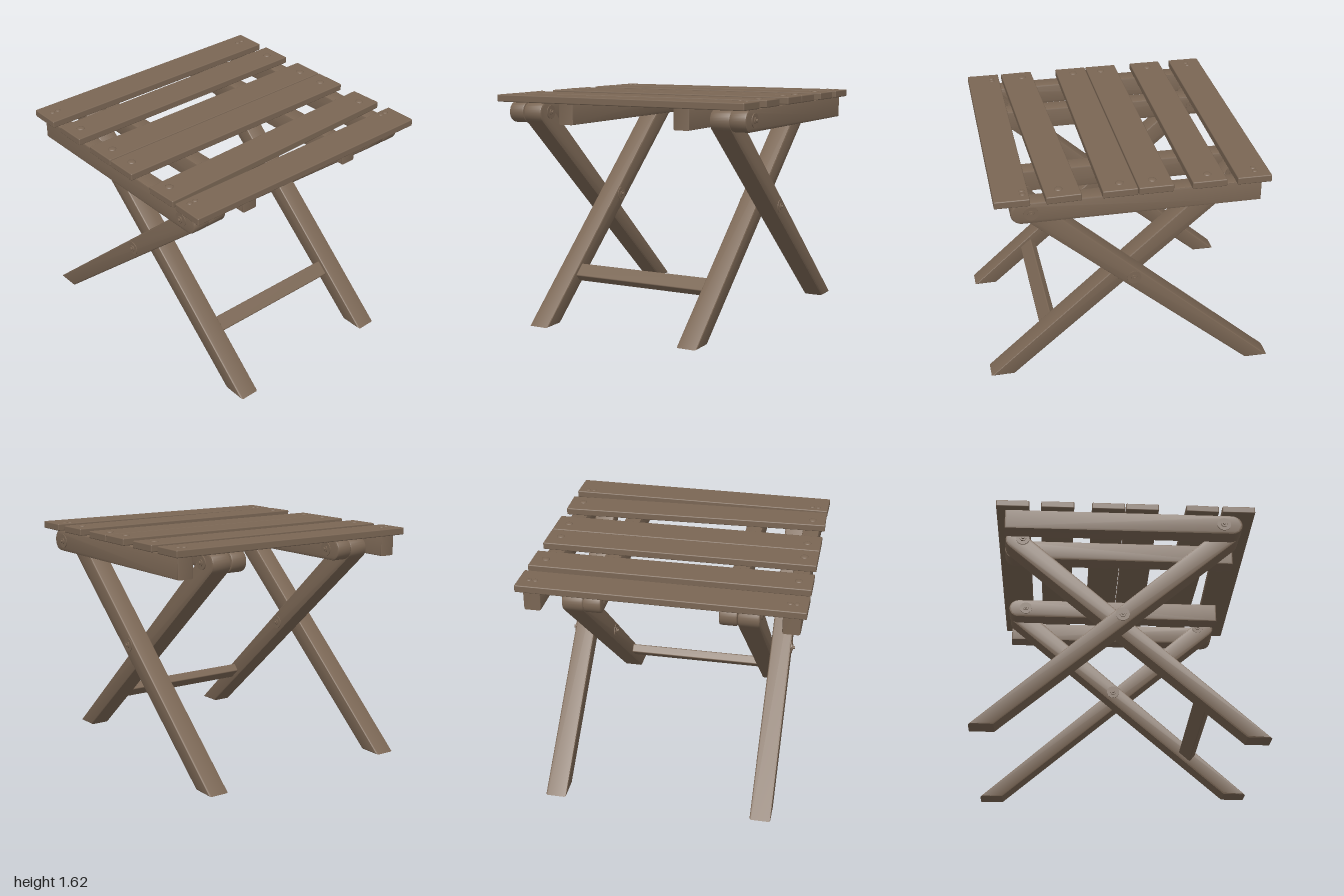
import * as THREE from 'three';
import { toCreasedNormals } from 'three/addons/utils/BufferGeometryUtils.js';
import { RoundedBoxGeometry } from 'three/addons/geometries/RoundedBoxGeometry.js';

const wood = new THREE.MeshStandardMaterial({ color: 0x7a6654 });
wood.name = 'brownWood';

// Side profile given in (z, y), extruded along x with eased edges; centred on x = 0
function sidePlank(shape, width, bevel = 0.012) {
  const geo = new THREE.ExtrudeGeometry(shape, {
    depth: width - 2 * bevel, bevelThickness: bevel, bevelSize: bevel,
    bevelOffset: -bevel, bevelSegments: 2, curveSegments: 14,
  });
  geo.translate(0, 0, -width / 2 + bevel);
  geo.rotateY(-Math.PI / 2);
  return toCreasedNormals(geo, 0.6);
}

// Leg rising towards +z * dir, rounded at the top, cut flat at the floor
function legShape(dir) {
  const s = new THREE.Shape();
  s.moveTo(-1 * dir, 0);
  s.lineTo(-0.835 * dir, 0);
  for (let i = 0; i <= 14; i++) {
    const a = -0.855 + Math.PI * i / 14;
    s.lineTo((0.75 + 0.075 * Math.cos(a)) * dir, 1.475 + 0.075 * Math.sin(a));
  }
  s.closePath();
  return s;
}

// Seat rail, rounded at the pivot end and square at the other
function railShape(dir) {
  const s = new THREE.Shape();
  s.moveTo(-0.82 * dir, 1.405);
  for (let i = 0; i <= 14; i++) {
    const a = -Math.PI / 2 + Math.PI * i / 14;
    s.lineTo((0.757 + 0.075 * Math.cos(a)) * dir, 1.48 + 0.075 * Math.sin(a));
  }
  s.lineTo(-0.82 * dir, 1.555);
  s.closePath();
  return s;
}

export function createModel() {
  const model = new THREE.Group();
  model.name = 'foldingStool';

  function add(name, geo, x = 0, y = 0, z = 0) {
    const mesh = new THREE.Mesh(geo, wood);
    mesh.name = name;
    mesh.position.set(x, y, z);
    model.add(mesh);
    return mesh;
  }

  // Bolt lying along x, with a washer, nut and shaft tip at each end
  function bolt(name, x0, x1, y, z) {
    const group = new THREE.Group();
    group.name = name;
    const cyl = (part, r, len, x, sides) => {
      const m = new THREE.Mesh(new THREE.CylinderGeometry(r, r, len, sides).rotateZ(Math.PI / 2), wood);
      m.name = part;
      m.position.set(x, y, z);
      group.add(m);
    };
    cyl('shaft', 0.011, x1 - x0 + 0.05, (x0 + x1) / 2, 12);
    for (const x of [x0, x1]) {
      cyl('washer', 0.048, 0.01, x, 20);
      cyl('nut', 0.024, 0.026, x, 6);
    }
    model.add(group);
  }

  const outerLeg = sidePlank(legShape(1), 0.145);
  const innerLeg = sidePlank(legShape(-1), 0.145);
  const outerRail = sidePlank(railShape(1), 0.12);
  const innerRail = sidePlank(railShape(-1), 0.12);

  // Crossed legs, rails and pivots on both sides
  for (const s of [-1, 1]) {
    const side = s > 0 ? 'left' : 'right';
    add(side + 'OuterLeg', outerLeg, s * 0.731);
    add(side + 'InnerLeg', innerLeg, s * 0.585);
    add(side + 'OuterRail', outerRail, s * 0.862);
    add(side + 'InnerRail', innerRail, s * 0.452);
    const span = (a, b) => (s > 0 ? [a, b] : [-b, -a]);
    bolt(side + 'CrossBolt', ...span(0.512, 0.804), 0.82, 0);
    bolt(side + 'FrontPivotBolt', ...span(0.658, 0.923), 1.48, 0.7);
    bolt(side + 'BackPivotBolt', ...span(0.391, 0.66), 1.48, -0.7);
  }

  // Stretcher between the inner legs, tilted with them
  const stretcher = add('stretcher', new RoundedBoxGeometry(1.03, 0.065, 0.11, 2, 0.008), 0, 0.318, 0.565);
  stretcher.rotation.x = Math.atan2(0.665, 0.747);

  // Seat slats: centre z, slight skew, screw z, paired screws
  const slats = [
    [-0.762, -0.006, -0.775, true], [-0.457, 0, -0.46, false], [-0.105, 0, -0.095, false],
    [0.13, 0, 0.12, false], [0.521, 0.03, 0.515, false], [0.812, -0.01, 0.745, true],
  ];
  const slatGeo = new RoundedBoxGeometry(1.92, 0.05, 0.229, 2, 0.007);
  const bigHead = new THREE.SphereGeometry(0.028, 18, 6, 0, Math.PI * 2, 0, Math.PI / 2).scale(1, 0.36, 1);
  const smallHead = bigHead.clone().scale(0.68, 0.8, 0.68);
  for (const [z, skew, screwZ, paired] of slats) {
    add('seatSlat', slatGeo, 0, 1.581, z).rotation.y = skew;
    for (const s of [-1, 1])
      for (const x of paired ? [0.842, 0.886] : [0.865])
        add('slatScrew', paired ? smallHead : bigHead, s * x, 1.605, screwZ);
  }
  return model;
}
